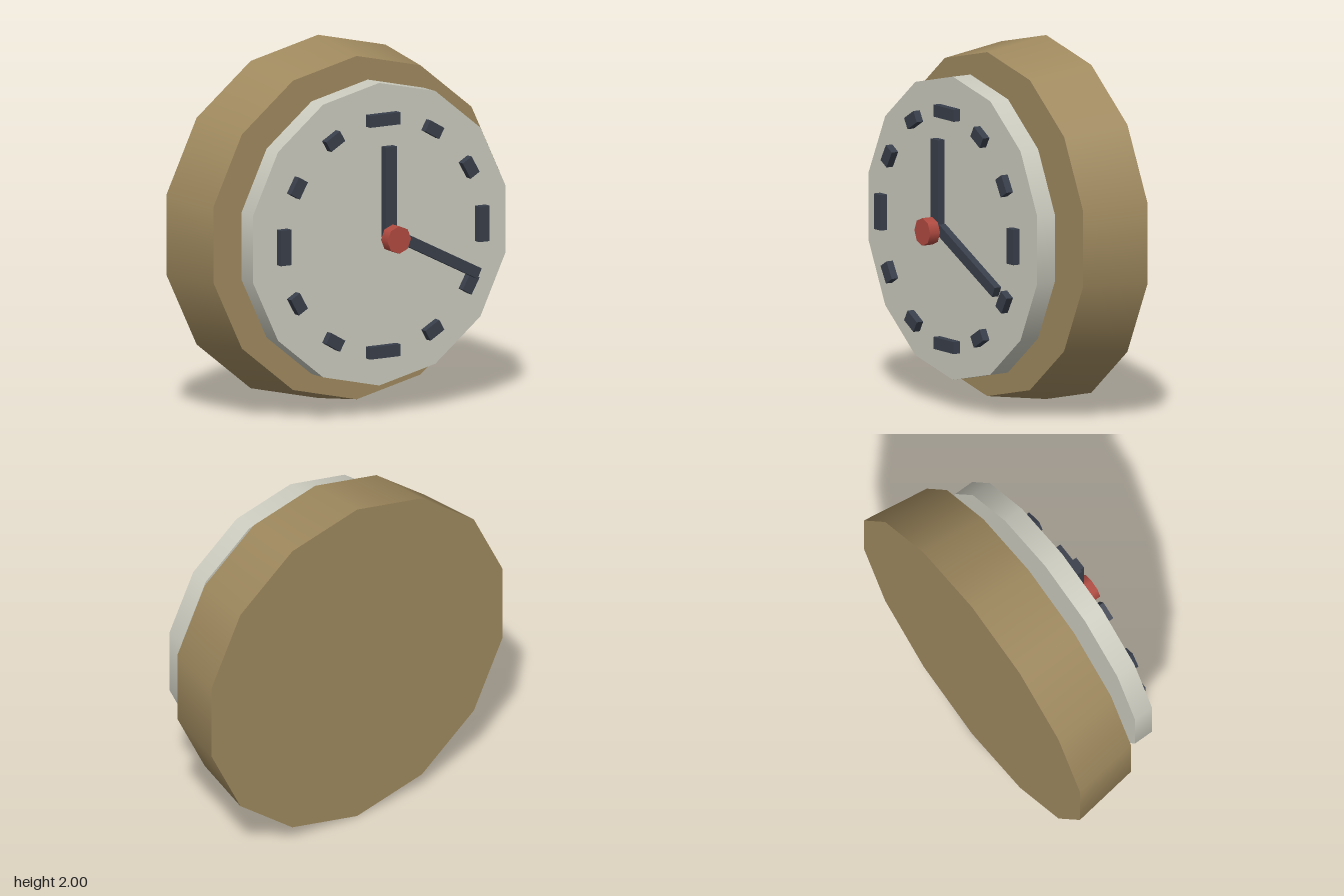
import * as THREE from 'three';

const wood = new THREE.MeshStandardMaterial({ color: 0xa08a5f });
const pale = new THREE.MeshStandardMaterial({ color: 0xccccc0 });
const dark = new THREE.MeshStandardMaterial({ color: 0x393f4b });
const red = new THREE.MeshStandardMaterial({ color: 0xb14b41 });

export function createModel() {
  const clock = new THREE.Group();
  clock.name = 'wallClock';

  const add = (name, geometry, material, x, y, z, angle = 0) => {
    const mesh = new THREE.Mesh(geometry, material);
    mesh.name = name;
    mesh.position.set(x, y, z);
    mesh.rotation.z = angle;
    clock.add(mesh);
  };

  // Disc lying along z, between two depths
  const disc = (name, material, rFront, rBack, zBack, zFront, sides) => {
    const geometry = new THREE.CylinderGeometry(rFront, rBack, zFront - zBack, sides);
    geometry.rotateX(Math.PI / 2);
    add(name, geometry, material, 0, 1, (zBack + zFront) / 2);
  };

  // Tapered case, dial and centre cap
  disc('case', wood, 0.945, 1, -0.405, -0.02, 14);
  disc('dial', pale, 0.833, 0.833, 0.09, 0.205, 14);
  disc('centreCap', red, 0.076, 0.076, 0.34, 0.405, 8);

  // Hour marks, longer at the quarters
  for (let i = 0; i < 12; i++) {
    const a = (i * Math.PI) / 6;
    const length = i % 3 === 0 ? 0.195 : 0.103;
    add('hourMark', new THREE.BoxGeometry(length, 0.066, 0.042), dark,
      0.638 * Math.sin(a), 1 + 0.638 * Math.cos(a), 0.245, -a);
  }

  // Hands
  add('uprightHand', new THREE.BoxGeometry(0.07, 0.5, 0.042), dark, 0, 1.25, 0.305);
  add('slantedHand', new THREE.BoxGeometry(0.6, 0.06, 0.042), dark, 0.3, 0.878, 0.305, -0.463);

  return clock;
}
